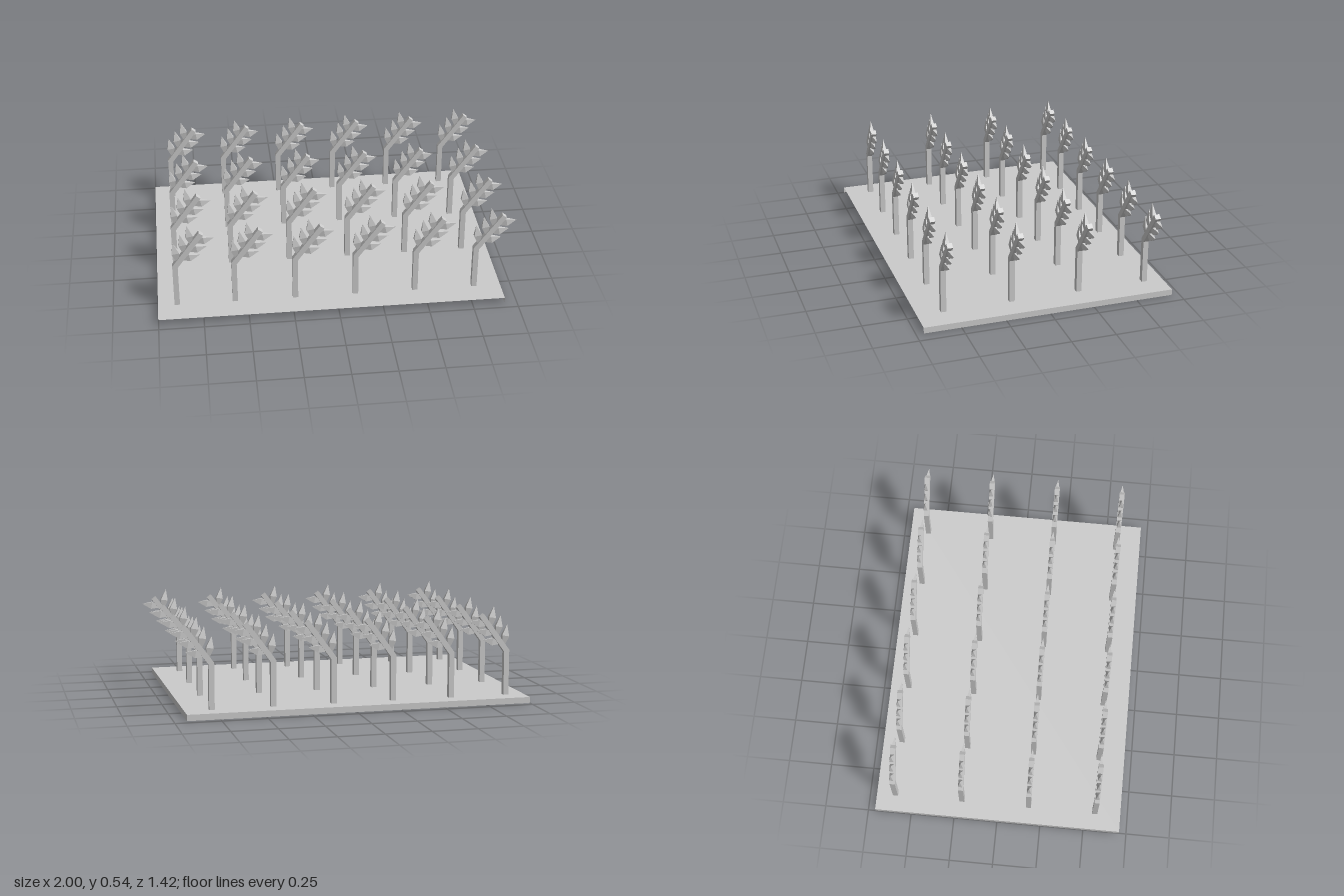
import * as THREE from 'three';

const material = new THREE.MeshStandardMaterial({ color: 0xcccccc, flatShading: true, side: THREE.DoubleSide });

function addMesh(parent, geometry, name) {
  const mesh = new THREE.Mesh(geometry, material);
  mesh.name = name;
  parent.add(mesh);
  return mesh;
}

// Square stalk: upright, then bent towards +x with a mitred corner
function stalkGeometry() {
  const outline = [
    [-0.015, 0.025], [0.015, 0.025], [0.015, 0.28],
    [0.162, 0.48], [0.138, 0.498], [-0.015, 0.29],
  ].map(([x, y]) => new THREE.Vector2(x, y));
  const geometry = new THREE.ExtrudeGeometry(new THREE.Shape(outline), { depth: 0.03, bevelEnabled: false });
  return geometry.translate(0, 0, -0.015);
}

// Four-sided leaf along +y, length 1: narrow foot, broad middle, pointed tip
function leafGeometry() {
  const profile = [[0, 0], [0.25, 0], [1, 0.48], [0, 1]].map(([r, y]) => new THREE.Vector2(r, y));
  const geometry = new THREE.LatheGeometry(profile, 4).toNonIndexed();
  geometry.rotateY(Math.PI / 4);
  geometry.scale(0.021 * Math.SQRT2, 1, 0.012 * Math.SQRT2);
  geometry.computeVertexNormals();
  return geometry;
}

function addLeaf(plant, geometry, [x0, y0], [x1, y1], name) {
  const leaf = addMesh(plant, geometry, name);
  leaf.position.set(x0, y0, 0);
  leaf.rotation.z = Math.atan2(y1 - y0, x1 - x0) - Math.PI / 2;
  leaf.scale.y = Math.hypot(x1 - x0, y1 - y0);
}

function createPlant(stalk, leaf) {
  const plant = new THREE.Group();
  plant.name = 'plant';
  addMesh(plant, stalk, 'stalk');
  // Three pairs of leaves stepping down the bent part
  for (let i = 0; i < 3; i++) {
    const dx = -0.04 * i, dy = -0.053 * i;
    addLeaf(plant, leaf, [0.112 + dx, 0.435 + dy], [0.22 + dx, 0.455 + dy], 'lowerLeaf');
    addLeaf(plant, leaf, [0.097 + dx, 0.415 + dy], [0.075 + dx, 0.54 + dy], 'upperLeaf');
  }
  return plant;
}

// Thin ground sheet with a folded rim on the back and both sides, open at front and below
function createField() {
  const field = new THREE.Group();
  field.name = 'field';
  const height = 0.034, left = -1, right = 0.93, depth = 1.416;
  const mid = (left + right) / 2, width = right - left;
  const sheet = addMesh(field, new THREE.PlaneGeometry(width, depth).rotateX(-Math.PI / 2), 'groundSheet');
  sheet.position.set(mid, height, 0);
  const back = addMesh(field, new THREE.PlaneGeometry(width, height).rotateY(Math.PI), 'backRim');
  back.position.set(mid, height / 2, -depth / 2);
  for (const [x, turn] of [[left, -1], [right, 1]]) {
    const rim = addMesh(field, new THREE.PlaneGeometry(depth, height).rotateY(turn * Math.PI / 2), 'sideRim');
    rim.position.set(x, height / 2, 0);
  }
  return field;
}

export function createModel() {
  const model = new THREE.Group();
  model.name = 'cropField';
  model.add(createField());
  // Rows of plants
  const stalk = stalkGeometry(), leaf = leafGeometry();
  for (const z of [0.56, 0.175, -0.212, -0.6]) {
    for (const x of [-0.893, -0.57, -0.233, 0.105, 0.442, 0.78]) {
      const plant = createPlant(stalk, leaf);
      plant.position.set(x, 0, z);
      model.add(plant);
    }
  }
  return model;
}
